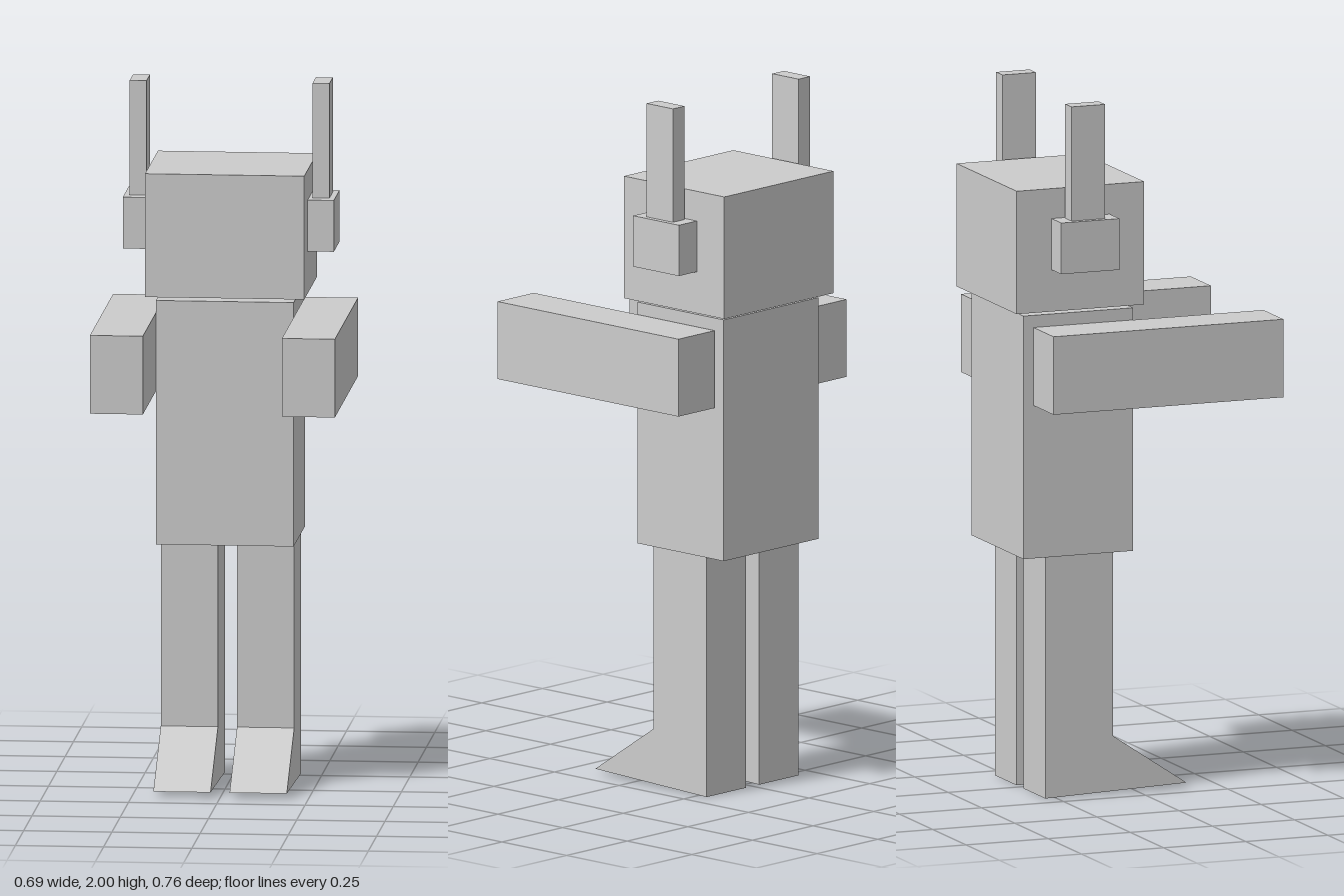
import * as THREE from 'three';

const material = new THREE.MeshStandardMaterial({ color: 0xcccccc, flatShading: true });

// Box given by its extents along each axis
function block(name, [x0, x1], [y0, y1], [z0, z1]) {
  const mesh = new THREE.Mesh(new THREE.BoxGeometry(x1 - x0, y1 - y0, z1 - z0), material);
  mesh.position.set((x0 + x1) / 2, (y0 + y1) / 2, (z0 + z1) / 2);
  mesh.name = name;
  return mesh;
}

// Leg and wedge foot in one side profile (z, y), extruded across x
function leg(name, x0, x1) {
  const profile = new THREE.Shape([
    [-0.281, 0.694], [-0.281, 0], [0.149, 0.015], [-0.075, 0.165], [-0.075, 0.694],
  ].map(([z, y]) => new THREE.Vector2(-z, y)));
  const geometry = new THREE.ExtrudeGeometry(profile, { depth: x1 - x0, bevelEnabled: false });
  geometry.rotateY(Math.PI / 2);
  const mesh = new THREE.Mesh(geometry, material);
  mesh.position.x = x0;
  mesh.name = name;
  return mesh;
}

export function createModel() {
  const model = new THREE.Group();
  model.name = 'robot';

  model.add(
    block('head', [-0.226, 0.225], [1.405, 1.758], [-0.383, 0.005]),
    block('torso', [-0.197, 0.193], [0.694, 1.392], [-0.351, -0.017]),
  );

  // Paired parts
  for (const [side, s] of [['left', 1], ['right', -1]]) {
    const span = (a, b) => (s > 0 ? [a, b] : [-b, -a]);
    model.add(
      block(side + 'Arm', span(0.197, 0.347), [1.133, 1.357], [-0.32, 0.38]),
      block(side + 'Ear', span(0.222, 0.299), [1.525, 1.672], [-0.277, -0.1]),
      block(side + 'Antenna', span(0.235, 0.283), [1.672, 2], [-0.239, -0.137]),
      leg(side + 'Leg', ...span(0.027, 0.189)),
    );
  }
  return model;
}
